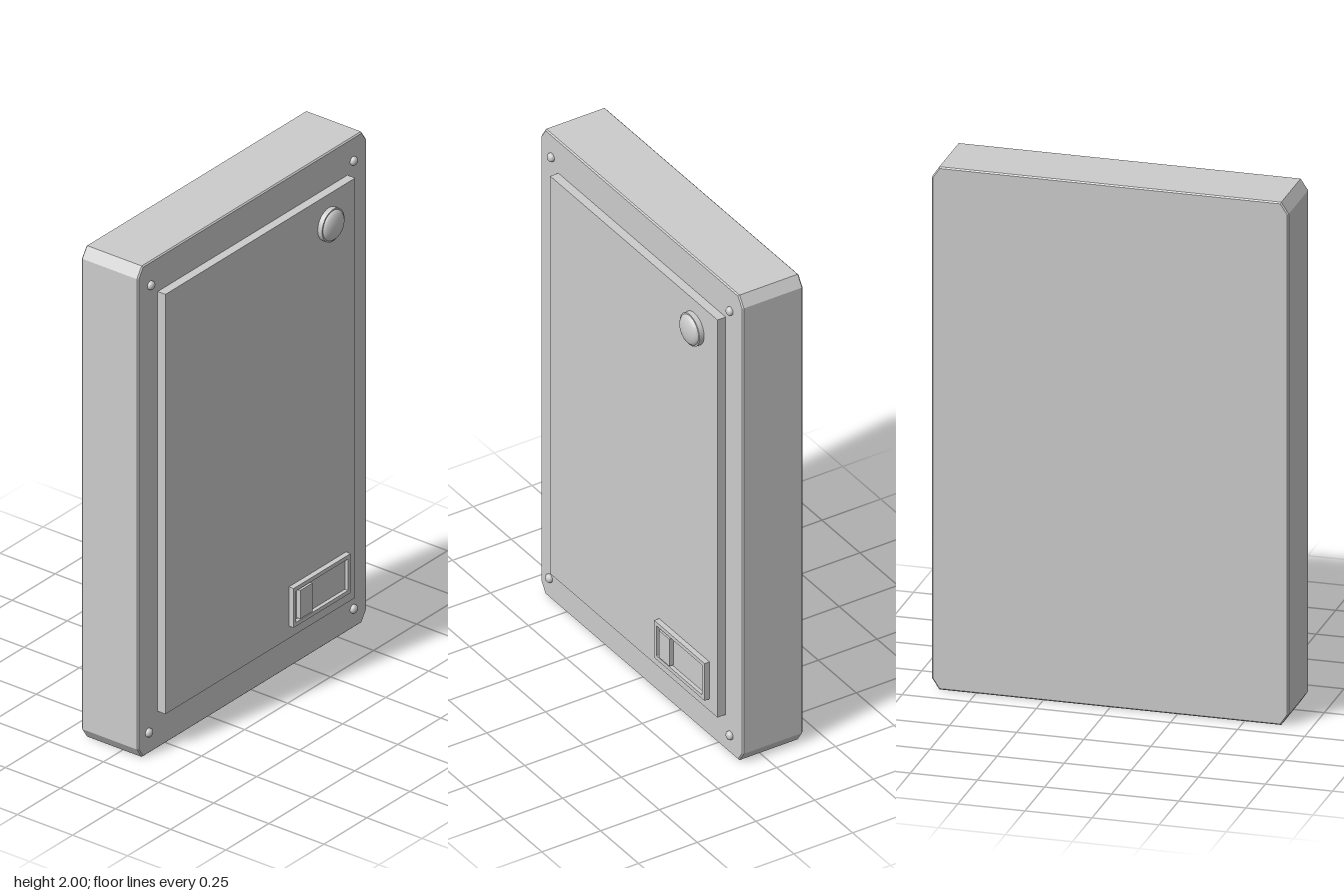
import * as THREE from 'three';

const material = new THREE.MeshStandardMaterial({ color: 0xcccccc });
const BODY_FACE = 0.09, PANEL_FACE = 0.125;

export function createModel() {
  const model = new THREE.Group();

  const add = (name, geometry, x = 0, y = 0, z = 0) => {
    const mesh = new THREE.Mesh(geometry, material);
    mesh.name = name;
    mesh.position.set(x, y, z);
    model.add(mesh);
    return mesh;
  };

  // Box given by its limits on each axis
  const slab = (name, x0, x1, y0, y1, z0, z1) =>
    add(name, new THREE.BoxGeometry(x1 - x0, y1 - y0, z1 - z0), (x0 + x1) / 2, (y0 + y1) / 2, (z0 + z1) / 2);

  // Outline extruded towards +x
  const extrudeX = (shape, depth, options) =>
    new THREE.ExtrudeGeometry(shape, { depth, bevelEnabled: false, ...options }).rotateY(Math.PI / 2);

  // Round part turned about the x axis from [radius, height] points
  const turnX = (points, segments) =>
    new THREE.LatheGeometry(points.map(([r, h]) => new THREE.Vector2(r, h)), segments).rotateZ(-Math.PI / 2);

  // Spherical-looking cap profile, from rim to tip
  const dome = (radius, height, base = 0, steps = 8) =>
    Array.from({ length: steps + 1 }, (_, i) => {
      const a = (i / steps) * Math.PI / 2;
      return [i === steps ? 0 : radius * Math.cos(a), base + height * Math.sin(a)];
    });

  // Case with cut corners and a fine bevel round both faces
  const w = 0.665, h = 1, cz = 0.028, cy = 0.042, bevel = 0.005;
  const outline = new THREE.Shape([
    [w - cz, -h], [w, -h + cy], [w, h - cy], [w - cz, h],
    [-w + cz, h], [-w, h - cy], [-w, -h + cy], [-w + cz, -h],
  ].map(([x, y]) => new THREE.Vector2(x, y)));
  add('case', extrudeX(outline, 0.257 - 2 * bevel, {
    bevelEnabled: true, bevelThickness: bevel, bevelSize: bevel, bevelOffset: -bevel, bevelSegments: 1,
  }), -0.167 + bevel, 1, 0);

  // Raised cover panel
  slab('coverPanel', BODY_FACE - 0.01, PANEL_FACE, 0.15, 1.86, -0.553, 0.55);

  // Corner screws
  for (const [y, z] of [[1.905, 0.593], [1.905, -0.585], [0.088, 0.605], [0.08, -0.585]]) {
    add('screw', turnX([[0.017, -0.005], ...dome(0.017, 0.012, 0.005, 5)], 16), BODY_FACE, y, z);
  }

  // Round button: collar and domed cap
  add('buttonCollar', turnX([[0.065, 0], [0.065, 0], [0.065, 0.02], [0.065, 0.02], [0.059, 0.02]], 32), PANEL_FACE, 1.74, -0.4);
  add('buttonCap', turnX(dome(0.06, 0.024), 32), PANEL_FACE + 0.018, 1.74, -0.4);

  // Switch frame with an open window
  const rect = (Type, a, b) => new Type([[-a, -b], [a, -b], [a, b], [-a, b]].map(([x, y]) => new THREE.Vector2(x, y)));
  const frame = rect(THREE.Shape, 0.166, 0.08);
  frame.holes.push(rect(THREE.Path, 0.151, 0.064));
  add('switchFrame', extrudeX(frame, 0.021), PANEL_FACE, 0.28, -0.334);

  // Switch floor and slider
  slab('switchFloor', PANEL_FACE - 0.005, PANEL_FACE + 0.006, 0.216, 0.344, -0.485, -0.183);
  slab('switchSlider', PANEL_FACE, 0.149, 0.222, 0.338, -0.273, -0.203);

  return model;
}
